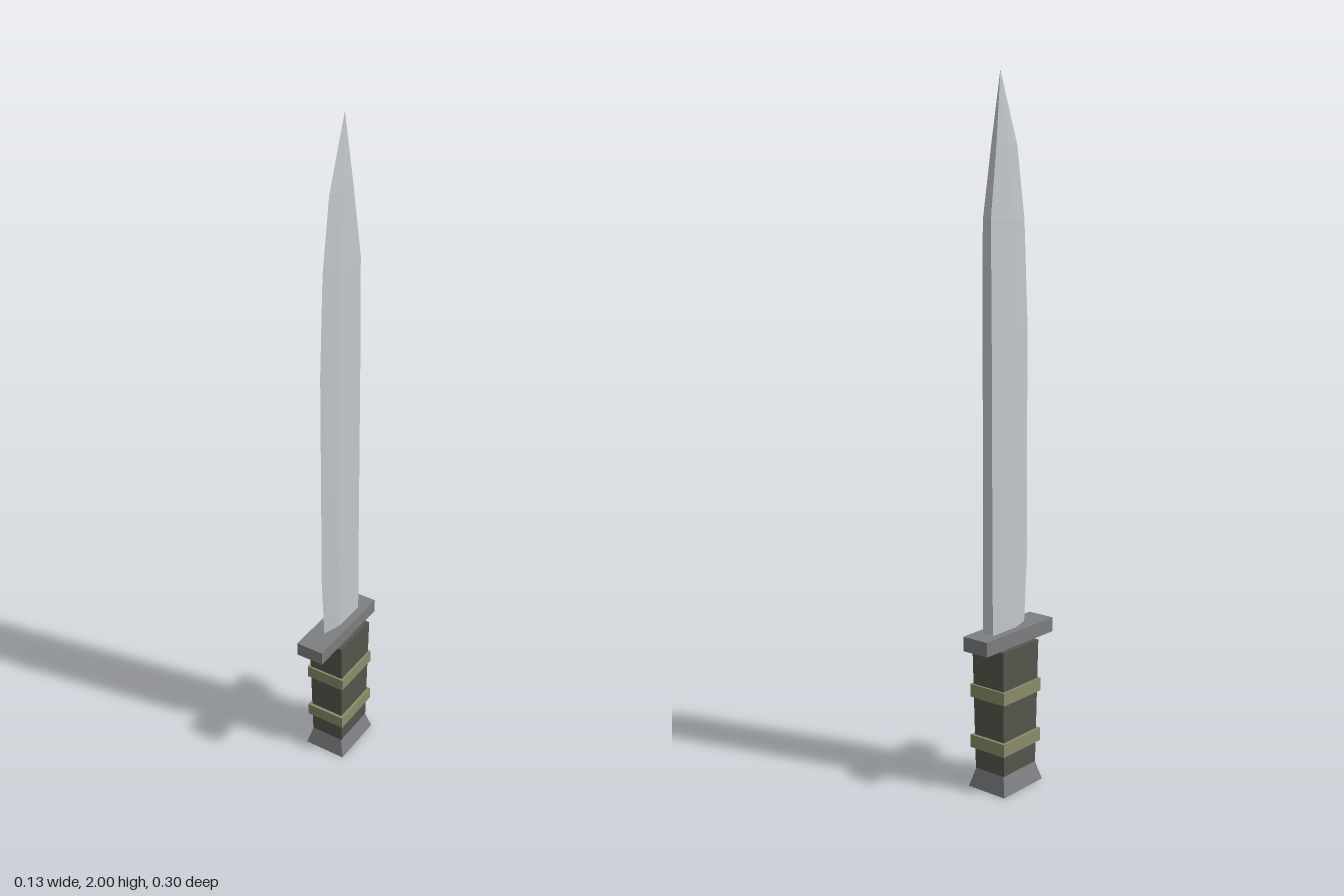
import * as THREE from 'three';

const material = (name, color) => {
  const m = new THREE.MeshStandardMaterial({ color, flatShading: true });
  m.name = name;
  return m;
};

// Joins cross-sections { y, pts: [[x, z], ...] }, listed from bottom to top, into a closed faceted solid.
function loft(sections) {
  const out = [];
  const tri = (...corners) => corners.forEach(([s, i]) => {
    const [x, z] = s.pts[i % s.pts.length];
    out.push(x, s.y, z);
  });
  const n = sections[0].pts.length;
  for (let k = 0; k < sections.length - 1; k++) {
    const a = sections[k], b = sections[k + 1];
    for (let i = 0; i < n; i++) {
      tri([a, i], [b, i], [b, i + 1]);
      tri([a, i], [b, i + 1], [a, i + 1]);
    }
  }
  const low = sections[0], top = sections[sections.length - 1];
  for (let i = 1; i < n - 1; i++) {
    tri([low, 0], [low, i], [low, i + 1]);
    tri([top, 0], [top, i + 1], [top, i]);
  }
  const g = new THREE.BufferGeometry();
  g.setAttribute('position', new THREE.Float32BufferAttribute(out, 3));
  g.computeVertexNormals();
  return g;
}

// Rectangular section: half width and z range
const rect = (y, w, back, front) => ({ y, pts: [[w, back], [w, front], [-w, front], [-w, back]] });

// Blade section: flat spine, parallel cheeks, then a bevel to the cutting edge
const bladeSection = ([y, w, spine, ridge, edge]) => ({
  y, pts: [[w, spine], [w, ridge], [0, edge], [-w, ridge], [-w, spine]],
});

export function createModel() {
  const group = new THREE.Group();
  const steel = material('blade steel', 0xc4c8cb);
  const darkMetal = material('dark metal', 0x7d7e81);
  const grip = material('dark olive grip', 0x55564c);
  const olive = material('olive band', 0x8a8c6a);

  const add = (name, geometry, mat) => {
    const mesh = new THREE.Mesh(geometry, mat);
    mesh.name = name;
    group.add(mesh);
  };

  // Blade: y, half width, spine z, ridge z, edge z
  add('blade', loft([
    [0.45, 0.018, -0.093, 0.008, 0.068],
    [0.66, 0.017, -0.093, 0.014, 0.081],
    [1.33, 0.016, -0.093, 0.014, 0.081],
    [1.61, 0.014, -0.093, 0.005, 0.067],
    [1.81, 0.009, -0.063, -0.012, 0.035],
    [2.0, 0, -0.036, -0.036, -0.036],
  ].map(bladeSection)), steel);

  // Cross guard
  add('guard', loft([rect(0.424, 0.043, -0.149, 0.149), rect(0.466, 0.043, -0.149, 0.149)]), darkMetal);

  // Grip, slightly narrower towards the pommel
  add('grip', loft([rect(0.055, 0.052, -0.087, 0.056), rect(0.424, 0.057, -0.094, 0.063)]), grip);

  // Two bands around the grip
  for (const [name, y] of [['lowerBand', 0.138], ['upperBand', 0.29]]) {
    add(name, loft([rect(y - 0.019, 0.062, -0.098, 0.067), rect(y + 0.019, 0.062, -0.098, 0.067)]), olive);
  }

  // Flared pommel
  add('pommel', loft([rect(0, 0.066, -0.102, 0.071), rect(0.062, 0.049, -0.085, 0.054)]), darkMetal);

  return group;
}
